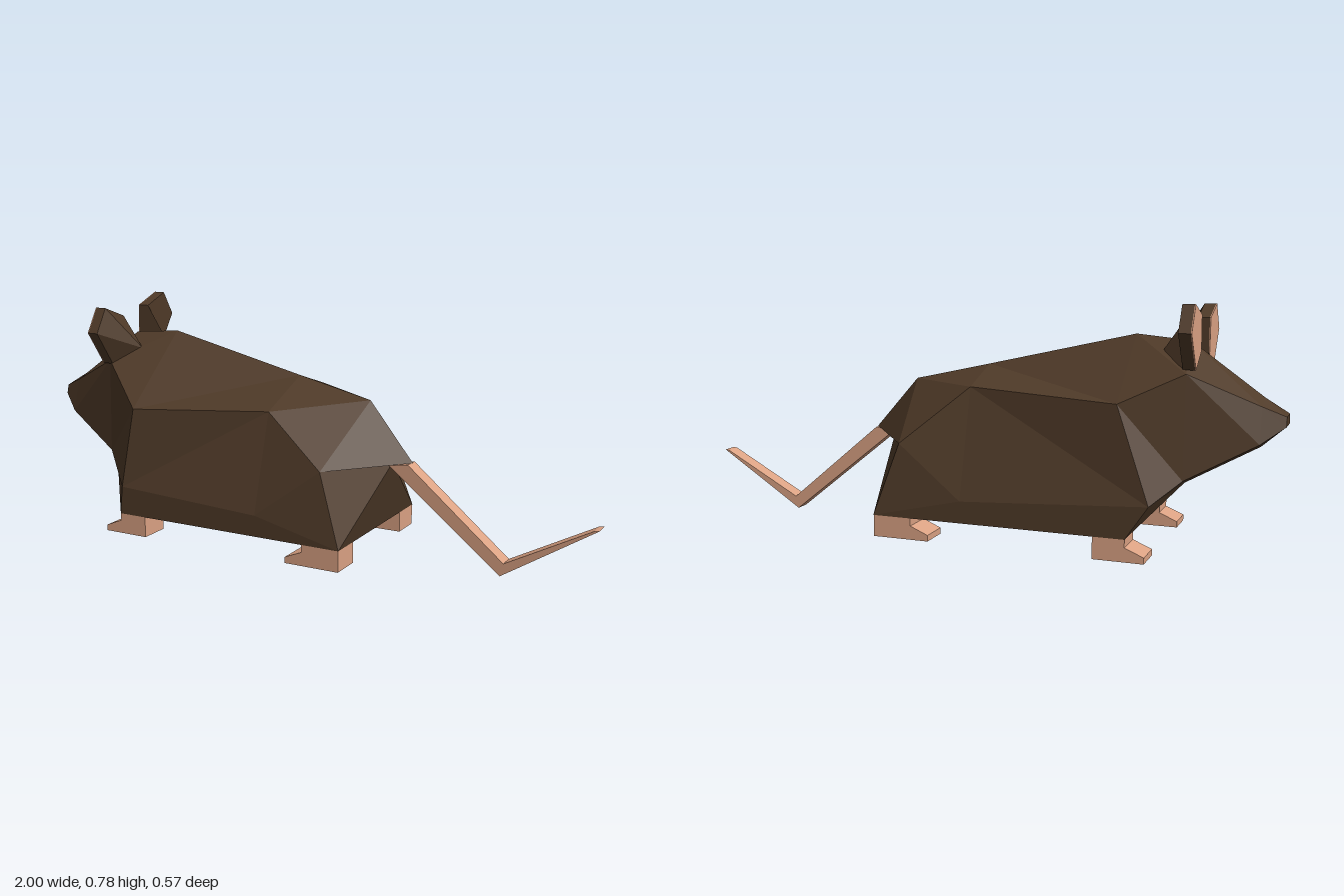
import * as THREE from 'three';

const fur = new THREE.MeshStandardMaterial({ color: 0x4f3a28, flatShading: true });
const skin = new THREE.MeshStandardMaterial({ color: 0xdca384, flatShading: true });

// Body cross-sections from nose to rump. Each point: x, y, half width, and a shift of x, y on the far side.
// Columns: ridge, upper side, lower side, bottom edge, belly. c is the centre line.
const same = (x, y) => Array.from({ length: 5 }, () => [x, y, 0]);
const sections = [
  { c: -0.02, p: same(-1, 0.425) },
  { c: -0.02, p: [[-1, 0.44, 0], [-1, 0.44, 0.035], [-1, 0.41, 0.043], [-1, 0.41, 0.03], [-1, 0.41, 0]] },
  { c: -0.02, p: [[-0.93, 0.49, 0], [-0.93, 0.47, 0.06], [-0.93, 0.36, 0.09], [-0.93, 0.35, 0.06], [-0.93, 0.35, 0]] },
  { c: -0.03, p: [[-0.7, 0.655, 0], [-0.72, 0.57, 0.15], [-0.72, 0.25, 0.16], [-0.72, 0.24, 0.13], [-0.72, 0.24, 0]] },
  { c: 0, p: [[-0.53, 0.67, 0], [-0.53, 0.44, 0.25, 0, 0.04], [-0.56, 0.175, 0.285, -0.08, 0.01], [-0.57, 0.08, 0.285], [-0.57, 0.08, 0]] },
  { c: 0, p: [[-0.04, 0.555, 0], [-0.04, 0.47, 0.19, 0, 0.03], [-0.04, 0.15, 0.285], [-0.04, 0.08, 0.285], [-0.04, 0.08, 0]] },
  { c: 0, p: [[0.22, 0.495, 0], [0.18, 0.315, 0.257], [0.26, 0.08, 0.285], [0.26, 0.08, 0.18], [0.26, 0.08, 0]] },
  { c: 0.02, p: [[0.39, 0.315, 0], [0.32, 0.31, 0], [0.32, 0.31, 0], [0.32, 0.31, 0], [0.32, 0.31, 0]] },
];

function bodyGeometry() {
  const out = [];
  const point = (i, j, side) => {
    const { c, p } = sections[i];
    const [x, y, w, dx = 0, dy = 0] = p[j];
    const z = j === 0 && i < 7 ? -0.02 : c;
    return side > 0 ? [x, y, z + w] : [x + dx, y + dy, z - w];
  };
  const triangle = (a, b, c, side) => {
    const ab = new THREE.Vector3(...b).sub(new THREE.Vector3(...a));
    const ac = new THREE.Vector3(...c).sub(new THREE.Vector3(...a));
    if (ab.cross(ac).length() < 1e-7) return;
    out.push(...a, ...(side > 0 ? b : c), ...(side > 0 ? c : b));
  };
  for (const side of [1, -1]) {
    for (let i = 0; i < sections.length - 1; i++) {
      for (let j = 0; j < 4; j++) {
        const a = point(i, j, side), b = point(i + 1, j, side);
        const c = point(i + 1, j + 1, side), d = point(i, j + 1, side);
        triangle(a, d, b, side);
        triangle(d, c, b, side);
      }
    }
  }
  const geometry = new THREE.BufferGeometry();
  geometry.setAttribute('position', new THREE.Float32BufferAttribute(out, 3));
  geometry.computeVertexNormals();
  return geometry;
}

// Flat outline given a thickness
function slab(outline, depth) {
  const shape = new THREE.Shape(outline.map(([x, y]) => new THREE.Vector2(x, y)));
  return new THREE.ExtrudeGeometry(shape, { depth, bevelEnabled: false });
}

// Ear plate standing across the head, its inner lower corner swept back
function makeEar(side) {
  const ear = new THREE.Group();
  ear.name = side > 0 ? 'nearEar' : 'farEar';
  const outline = [[0.05, 0.61], [0.055, 0.72], [0.155, 0.757], [0.205, 0.675], [0.125, 0.56]]
    .map(([z, y]) => (side > 0 ? [-z, y] : [z + 0.035, y + 0.02]));
  const corner = outline[0];
  const plate = (name, depth, x, material, sweep) => {
    const geometry = slab(outline, depth);
    geometry.rotateY(Math.PI / 2);
    geometry.translate(x, 0, 0);
    const pos = geometry.attributes.position;
    for (let i = 0; i < pos.count; i++) {
      const isCorner = Math.hypot(pos.getZ(i) + corner[0], pos.getY(i) - corner[1]) < 0.001;
      if (isCorner && pos.getX(i) > x + depth / 2) pos.setX(i, pos.getX(i) + sweep);
    }
    geometry.computeVertexNormals();
    const mesh = new THREE.Mesh(geometry, material);
    mesh.name = name;
    ear.add(mesh);
  };
  plate('earBack', 0.037, -0.742, fur, 0.075);
  plate('earInner', 0.003, -0.745, skin, 0);
  return ear;
}

// Foot with a sloping toe
function makeFoot(name, toe, heel, z) {
  const outline = [[toe, 0.01], [heel, 0.01], [heel, 0.085], [toe + 0.06, 0.085], [toe + 0.06, 0.055], [toe, 0.03]];
  const foot = new THREE.Mesh(slab(outline, 0.105), skin);
  foot.name = name;
  foot.position.z = z;
  return foot;
}

export function createModel() {
  const model = new THREE.Group();
  model.name = 'rodent';

  const body = new THREE.Mesh(bodyGeometry(), fur);
  body.name = 'body';
  model.add(body);

  for (const side of [1, -1]) {
    const z = side > 0 ? 0.179 : -0.284;
    model.add(makeEar(side));
    model.add(makeFoot('frontFoot', -0.63, -0.47, z));
    model.add(makeFoot('rearFoot', 0.07, 0.259, z));
  }

  // Kinked tail
  const tail = new THREE.Mesh(
    slab([[0.32, 0.305], [0.7, 0], [1, 0.192], [0.985, 0.19], [0.71, 0.042], [0.385, 0.315]], 0.053), skin);
  tail.name = 'tail';
  tail.position.z = -0.004;
  model.add(tail);

  return model;
}
